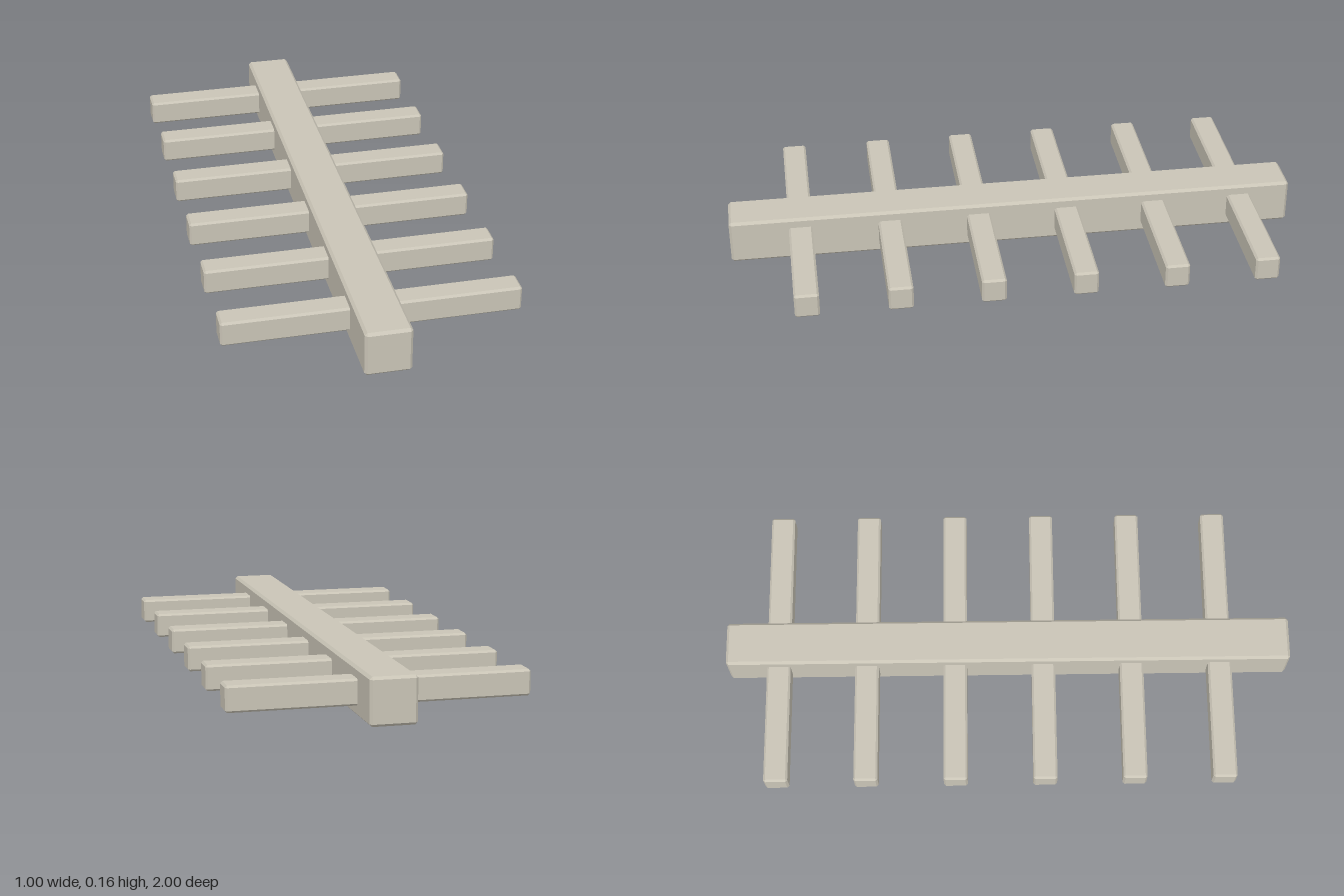
import * as THREE from 'three';
import { ConvexGeometry } from 'three/addons/geometries/ConvexGeometry.js';

// Box with flat chamfers on all edges: each corner gives three points
function chamferBox(w, h, d, c) {
  const points = [];
  for (const x of [-w / 2, w / 2]) for (const y of [-h / 2, h / 2]) for (const z of [-d / 2, d / 2]) {
    const ix = x - Math.sign(x) * c, iy = y - Math.sign(y) * c, iz = z - Math.sign(z) * c;
    points.push(new THREE.Vector3(x, iy, iz), new THREE.Vector3(ix, y, iz), new THREE.Vector3(ix, iy, z));
  }
  return new ConvexGeometry(points);
}

export function createModel() {
  const model = new THREE.Group();
  model.name = 'spineWithCrossbars';
  const stone = new THREE.MeshStandardMaterial({ color: 0xc9c4b6, flatShading: true });
  stone.name = 'warm grey';
  const centreY = 0.079;

  // Long central beam
  const beam = new THREE.Mesh(chamferBox(0.156, 0.158, 2, 0.009), stone);
  beam.name = 'centralBeam';
  beam.position.y = centreY;
  model.add(beam);

  // Six evenly spaced crossbars through the beam
  const barGeometry = chamferBox(1, 0.087, 0.084, 0.007);
  for (let i = 0; i < 6; i++) {
    const bar = new THREE.Mesh(barGeometry, stone);
    bar.name = `crossbar${i + 1}`;
    bar.position.set(0, centreY + 0.001, 0.752 - i * 0.3135);
    model.add(bar);
  }
  return model;
}
